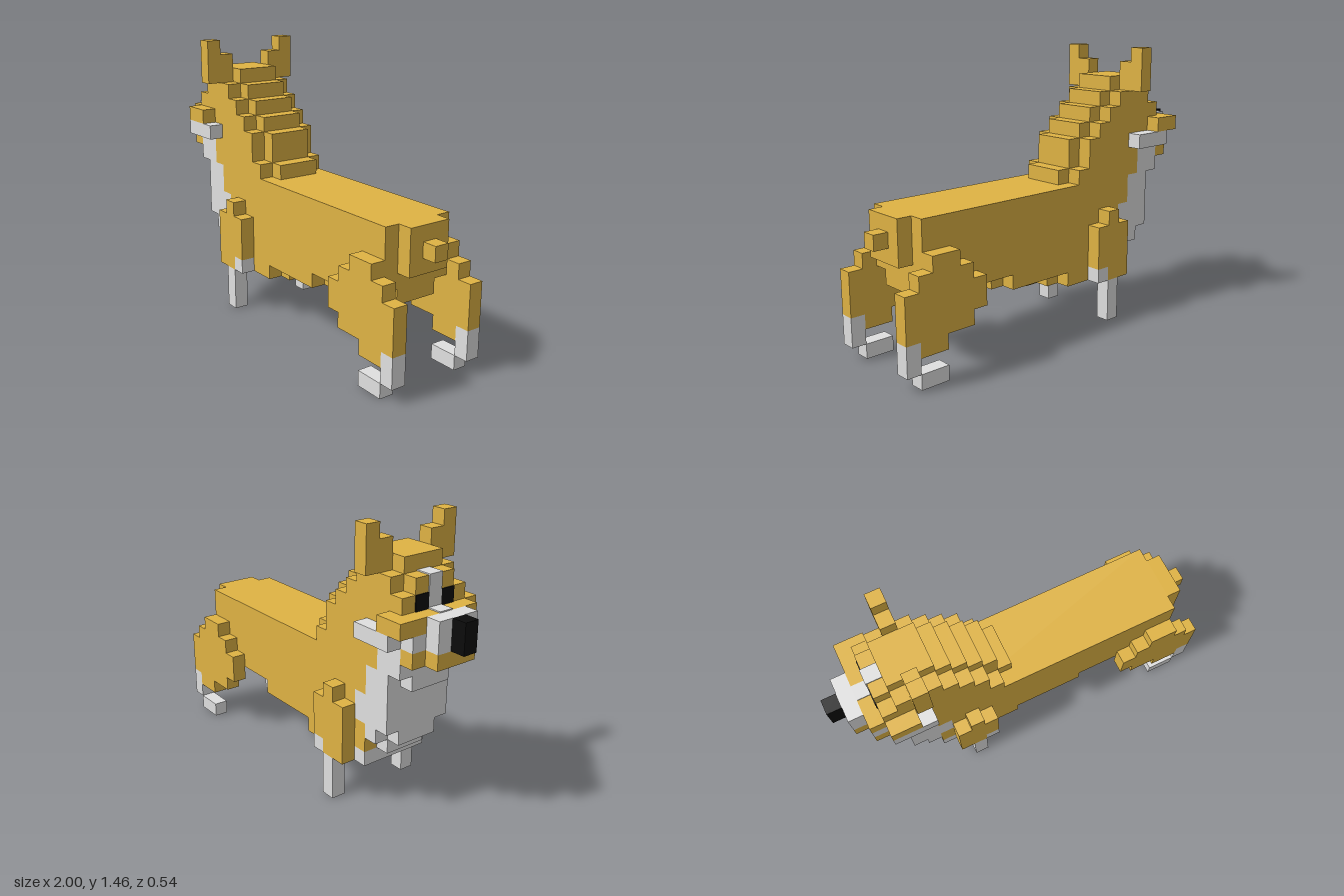
import * as THREE from 'three';

const U = 1 / 13; // one block
const T = 0.006; // thickness of painted plates

const mat = (name, color) => {
  const m = new THREE.MeshStandardMaterial({ color });
  m.name = name;
  return m;
};

export function createModel() {
  const tan = mat('tan fur', 0xdfb344);
  const white = mat('white fur', 0xe0e0e0);
  const black = mat('black', 0x0c0c0c);
  const model = new THREE.Group();
  model.name = 'dog';

  const group = (name, parent = model) => {
    const g = new THREE.Group();
    g.name = name;
    parent.add(g);
    return g;
  };

  // Box from block bounds: x columns from the nose, y rows from the ground, z about the centre
  const box = (parent, name, m, x0, x1, y0, y1, z0, z1) => {
    if (x1 <= x0) return;
    const geo = new THREE.BoxGeometry((x1 - x0) * U, (y1 - y0) * U, (z1 - z0) * U);
    geo.translate(((x0 + x1) / 2 - 13) * U, ((y0 + y1) / 2) * U, ((z0 + z1) / 2) * U);
    const mesh = new THREE.Mesh(geo, m);
    mesh.name = name;
    parent.add(mesh);
  };

  // A slab that is white in front of the cut and tan behind it
  const slab = (parent, name, x0, cut, x1, y0, y1, half) => {
    const c = Math.min(Math.max(cut, x0), x1);
    box(parent, name + 'White', white, x0, c, y0, y1, -half, half);
    box(parent, name + 'Tan', tan, c, x1, y0, y1, -half, half);
  };

  // Torso, neck and head: bottom, top, wide start, narrow start, cut, narrow end, wide end
  const body = group('body');
  [
    [3, 4, 6, 6, 7, 13, 12],
    [4, 5, 6, 5, 6, 18, 17],
    [5, 6, 5, 4, 6, 24, 23],
    [6, 7, 4, 4, 7, 24, 24],
    [7, 8, 4, 4, 7, 25, 24],
    [8, 9, 4, 4, 6, 25, 24],
    [9, 10, 4, 3, 6, 25, 24],
    [10, 11, 3, 3, 5, 12, 11],
    [11, 13, 3, 3, 5, 11, 10],
    [13, 14, 2, 2, 0, 10, 9],
    [14, 15, 3, 3, 0, 9, 8],
    [15, 16, 4, 3, 0, 8, 7],
  ].forEach(([y0, y1, w0, n0, cut, n1, w1]) => {
    slab(body, 'wideSlab', w0, cut, w1, y0, y1, 2.5);
    slab(body, 'frontSlab', n0, cut, w0, y0, y1, 1.5);
    slab(body, 'rearSlab', w1, cut, n1, y0, y1, 1.5);
  });
  box(body, 'crown', tan, 4, 7, 16, 17, -1.5, 1.5);
  box(body, 'chestTip', tan, 13, 14, 3, 4, -0.5, 0.5);
  box(body, 'bellyTip', tan, 18, 19, 4, 5, -0.5, 0.5);
  box(model, 'tail', tan, 25, 26, 8, 9, -0.5, 0.5);

  // Muzzle, jaw and nose
  const face = group('face');
  box(face, 'muzzle', white, 1, 2, 12, 14, -1.5, 1.5);
  box(face, 'upperLip', white, 2, 3, 12, 13, -2.5, 2.5);
  box(face, 'jawTip', tan, 1, 2, 11, 12, -1.5, 1.5);
  box(face, 'jaw', tan, 2, 3, 11, 12, -2.5, 2.5);
  box(face, 'nose', black, 0, 1, 12, 14, -0.5, 0.5);

  // Cheeks, slightly uneven from side to side
  box(face, 'cheekFront', tan, 3, 5, 13, 14, 2.5, 3.5);
  box(face, 'cheekFrontWhite', white, 3, 6, 12, 13, 2.5, 3.5);
  box(face, 'cheekBack', tan, 2, 4, 13, 14, -3.5, -2.5);
  box(face, 'cheekBackWhite', white, 3, 6, 12, 13, -3.5, -2.5);

  // Painted blaze and eyes
  const t = T / U;
  box(face, 'blazeFront', white, 3 - t, 3, 14, 16, -0.5, 0.5);
  box(face, 'blazeTop', white, 3 - t, 4, 16, 16 + t, -0.5, 0.5);
  box(face, 'blazeBridge', white, 2, 3, 14, 14 + t, -0.5, 0.5);

  for (const s of [1, -1]) {
    const side = s > 0 ? 'Front' : 'Back';
    const z = (a, b) => (s > 0 ? [a, b] : [-b, -a]);
    box(face, 'eye' + side, black, 3 - t, 3, 14, 15, ...z(0.5, 1.5));

    const ear = group('ear' + side);
    box(ear, 'earTip', tan, 5, 6, 16, 19, ...z(2.5, 3.5));
    box(ear, 'earBase', tan, 5, 6, 16, 18, ...z(1.5, 2.5));

    // Legs as columns of blocks: start, end, bottom, top, colour
    const legs = {
      foreleg: [
        [7, 8, 3, 7, tan],
        [8, 9, 3, 8, tan],
        [9, 10, 4, 7, tan],
        [9, 10, 3, 4, white],
        [8, 9, 0, 3, white],
      ],
      hindLeg: [
        [20, 21, 4, 6, tan],
        [21, 22, 3, 7, tan],
        [22, 23, 3, 8, tan],
        [23, 24, 2, 8, tan],
        [24, 25, 2, 7, tan],
        [25, 26, 3, 6, tan],
        [25, 26, 1, 3, white],
        [23, 25, 0, 1, white],
      ],
    };
    for (const [name, columns] of Object.entries(legs)) {
      const leg = group(name + side);
      columns.forEach(([x0, x1, y0, y1, m]) => box(leg, name + 'Block', m, x0, x1, y0, y1, ...z(2.5, 3.5)));
    }
  }
  return model;
}
